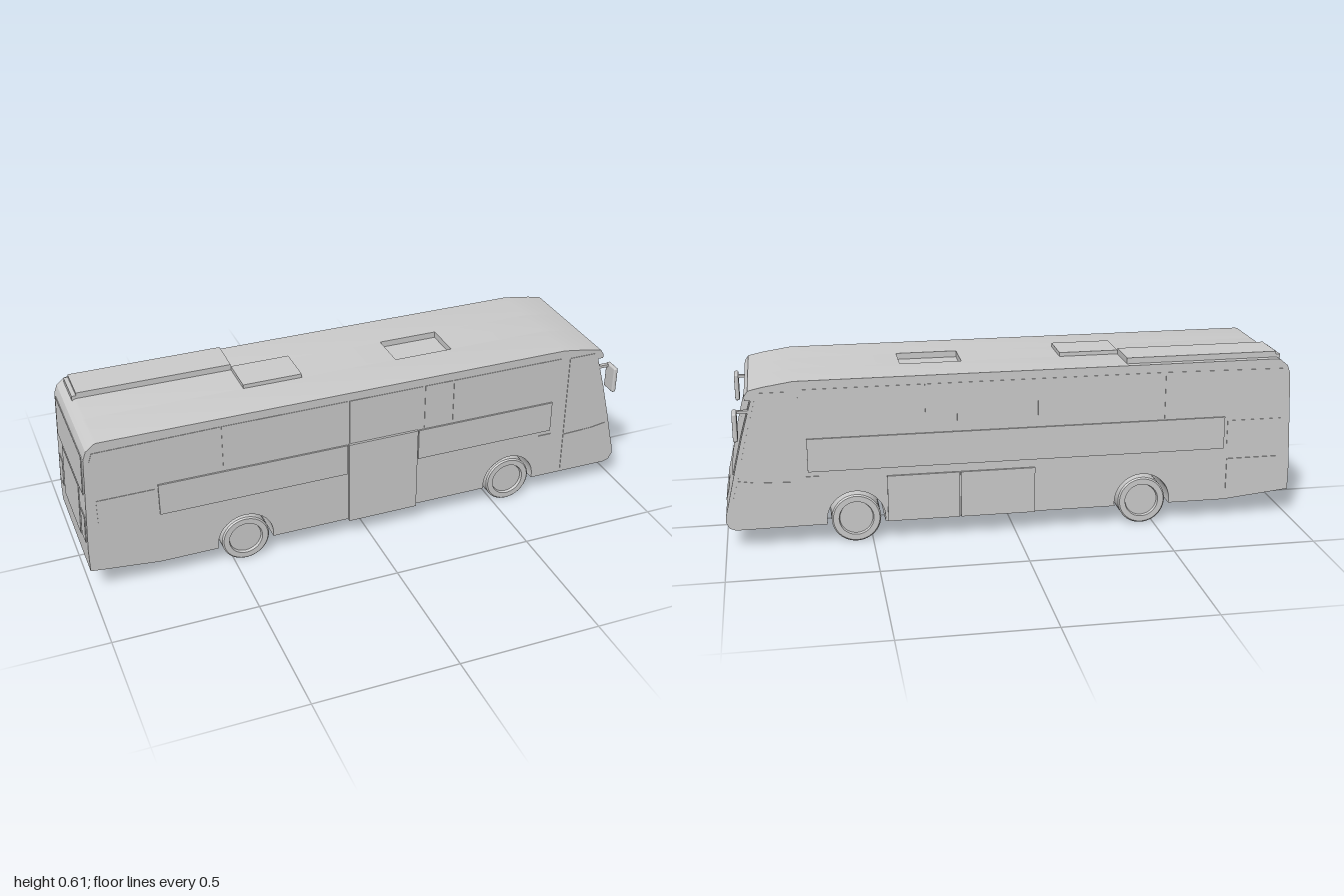
import * as THREE from 'three';
import { toCreasedNormals } from 'three/addons/utils/BufferGeometryUtils.js';
import { RoundedBoxGeometry } from 'three/addons/geometries/RoundedBoxGeometry.js';

const material = new THREE.MeshStandardMaterial({ color: 0xcccccc });
const HALF = 0.231;               // half width of the body
const AXLES = [-0.456, 0.556];    // wheel positions along the bus
// end profiles as [x, y], bottom to top
const NOSE = [[0.965, 0.068], [0.985, 0.076], [0.998, 0.1], [0.995, 0.125], [0.985, 0.165],
  [0.953, 0.3], [0.928, 0.4], [0.892, 0.525]];
const TAIL = [[-1, 0.095], [-1, 0.18], [-0.983, 0.53], [-0.972, 0.56], [-0.945, 0.582]];

export function createModel() {
  const bus = new THREE.Group();
  bus.name = 'bus';

  const add = (name, geometry, parent = bus) => {
    const mesh = new THREE.Mesh(geometry, material);
    mesh.name = name;
    parent.add(mesh);
    return mesh;
  };
  const box = (name, x0, x1, y0, y1, z0, z1) =>
    add(name, new THREE.BoxGeometry(x1 - x0, y1 - y0, z1 - z0))
      .position.set((x0 + x1) / 2, (y0 + y1) / 2, (z0 + z1) / 2);
  const extrude = (shape, z0, z1) => toCreasedNormals(
    new THREE.ExtrudeGeometry(shape, { depth: z1 - z0, bevelEnabled: false, curveSegments: 24 })
      .translate(0, 0, z0), 0.5);
  const polygon = (points) => new THREE.Shape(points.map(([x, y]) => new THREE.Vector2(x, y)));

  // Body: side profile with wheel arches, optional roof hatch notch
  const bodyShape = (notch) => {
    const s = new THREE.Shape();
    s.moveTo(-1, 0.095);
    s.lineTo(-0.76, 0.07);
    for (const x of AXLES) s.absarc(x, 0.085, 0.1, Math.PI + 0.15, -0.15, true);
    for (const [x, y] of NOSE) s.lineTo(x, y);
    for (const [x, y] of [[0.912, 0.525], [0.913, 0.54], [0.9, 0.559], [0.85, 0.57], [0.75, 0.585]]) s.lineTo(x, y);
    if (notch) for (const [x, y] of [[0.38, 0.585], [0.38, 0.563], [0.165, 0.563], [0.165, 0.585]]) s.lineTo(x, y);
    s.lineTo(-0.935, 0.585);
    for (const [x, y] of TAIL.slice(1).reverse()) s.lineTo(x, y);
    s.closePath();
    return s;
  };
  add('bodySidePlusZ', extrude(bodyShape(false), 0.07, HALF));
  add('bodySideMinusZ', extrude(bodyShape(false), -HALF, -0.07));
  add('bodyMiddle', extrude(bodyShape(true), -0.07, 0.07));

  // Thin plate that follows the slope of an end profile
  const profileX = (profile, y) => {
    let i = 1;
    while (i < profile.length - 1 && profile[i][1] < y) i++;
    const [[x0, y0], [x1, y1]] = [profile[i - 1], profile[i]];
    return x0 + (x1 - x0) * (y - y0) / (y1 - y0);
  };
  const endPlate = (name, profile, z0, z1, bottom, top, depth) => {
    const g = new THREE.BoxGeometry(1, 1, 1, 1, 10, 24);
    const p = g.attributes.position;
    for (let i = 0; i < p.count; i++) {
      const z = z0 + (z1 - z0) * (p.getZ(i) + 0.5);
      const y = THREE.MathUtils.lerp(bottom(z), top, p.getY(i) + 0.5);
      p.setXYZ(i, profileX(profile, y) + p.getX(i) * 2 * depth, y, z);
    }
    add(name, toCreasedNormals(g, 0.5));
  };
  // Windscreen with its shallow V lower edge, front and rear panels
  endPlate('windscreen', NOSE, -0.207, 0.207,
    (z) => 0.235 + 0.025 * Math.max(0, Math.abs(z) - 0.07) / 0.137, 0.522, 0.003);
  endPlate('frontPlate', NOSE, -0.07, 0.07, () => 0.12, 0.165, 0.002);
  endPlate('rearWindow', TAIL, -0.205, 0.205, () => 0.385, 0.53, 0.003);
  endPlate('engineCover', TAIL, -0.13, 0.13, () => 0.185, 0.375, 0.003);
  for (const s of [-1, 1]) {
    const [a, b] = [s * 0.15, s * 0.21].sort((m, n) => m - n);
    endPlate('tailLamp', TAIL, a, b, () => 0.2, 0.3, 0.003);
  }

  // Plate standing proud of a side wall; side is +1 or -1
  const sidePlate = (name, side, shape, out) =>
    add(name, side > 0 ? extrude(shape, 0.22, out) : extrude(shape, -out, -0.22));
  const rect = (x0, x1, y0, y1) => polygon([[x0, y0], [x1, y0], [x1, y1], [x0, y1]]);

  for (const side of [1, -1]) {
    // Window band: curved rear pane, plain panes, cut-corner front pane
    const rear = new THREE.Shape();
    rear.moveTo(-0.53, 0.388);
    rear.lineTo(-0.53, 0.555);
    rear.lineTo(-0.955, 0.55);
    rear.lineTo(-0.965, 0.52);
    rear.quadraticCurveTo(-0.94, 0.395, -0.74, 0.388);
    sidePlate('rearSideWindow', side, rear, 0.233);
    for (const [a, b] of [[-0.524, -0.078], [-0.072, 0.203], [0.209, 0.312]]) {
      sidePlate('sideWindow', side, rect(a, b, 0.388, 0.555), 0.233);
    }
    sidePlate('frontSideWindow', side, polygon([[0.318, 0.388], [0.695, 0.388], [0.715, 0.4],
      [0.738, 0.4], [0.738, 0.555], [0.318, 0.555]]), 0.233);

    // Cab corner, split by the lamp line
    sidePlate('cabLowerPanel', side, polygon([[0.775, 0.08], [0.96, 0.08], [0.982, 0.1],
      [0.972, 0.165], [0.95, 0.245], [0.89, 0.236], [0.775, 0.232]]), 0.233);
    sidePlate('cabWindow', side, polygon([[0.775, 0.238], [0.89, 0.242], [0.948, 0.251],
      [0.915, 0.395], [0.882, 0.515], [0.875, 0.55], [0.775, 0.55]]), 0.233);

    // Waist panels (interrupted by the door on one side)
    const spans = side > 0 ? [[-0.75, -0.08], [0.188, 0.715]] : [[-0.75, 0.715]];
    for (const [a, b] of spans) sidePlate('waistPanel', side, rect(a, b, 0.265, 0.382), 0.237);

    sidePlate('engineGrille', side, rect(-0.957, -0.762, 0.28, 0.367), 0.233);
    sidePlate('doorHandle', side, rect(0.672, 0.722, 0.24, 0.248), 0.234);

    // Mirror head on a short arm
    const mirror = new THREE.Group();
    mirror.name = 'mirror';
    add('mirrorHead', new RoundedBoxGeometry(0.016, 0.098, 0.06, 3, 0.006), mirror)
      .position.set(0.947, 0.445, side * 0.242);
    add('mirrorArm', new THREE.BoxGeometry(0.06, 0.01, 0.014), mirror)
      .position.set(0.915, 0.486, side * 0.222);
    bus.add(mirror);
  }

  // Passenger door on one side, luggage and service hatches on the other
  sidePlate('door', 1, rect(-0.075, 0.183, 0.066, 0.384), 0.24);
  for (const [a, b] of [[-0.068, 0.193], [0.198, 0.447]]) {
    sidePlate('luggageHatch', -1, rect(a, b, 0.07, 0.235), 0.238);
  }
  sidePlate('serviceHatch', -1, rect(-0.957, -0.765, 0.1, 0.225), 0.234);

  // Roof units
  box('airConditioner', -0.935, -0.395, 0.58, 0.606, -0.206, -0.07);
  box('airConditionerRearEdge', -0.95, -0.93, 0.575, 0.596, -0.206, -0.07);
  box('roofHatch', -0.395, -0.185, 0.58, 0.599, -0.07, 0.07);

  // Wheels: full-width rollers with recessed rims
  const wheelProfile = [[0, -0.219], [0.057, -0.219], [0.06, -0.229], [0.08, -0.229], [0.085, -0.224],
    [0.085, 0.224], [0.08, 0.229], [0.06, 0.229], [0.057, 0.219], [0, 0.219]]
    .map(([r, y]) => new THREE.Vector2(r, y));
  const wheelGeometry = toCreasedNormals(new THREE.LatheGeometry(wheelProfile, 48).rotateX(Math.PI / 2), 0.5);
  AXLES.forEach((x, i) => add(i ? 'frontWheels' : 'rearWheels', wheelGeometry).position.set(x, 0.085, 0));

  return bus;
}
